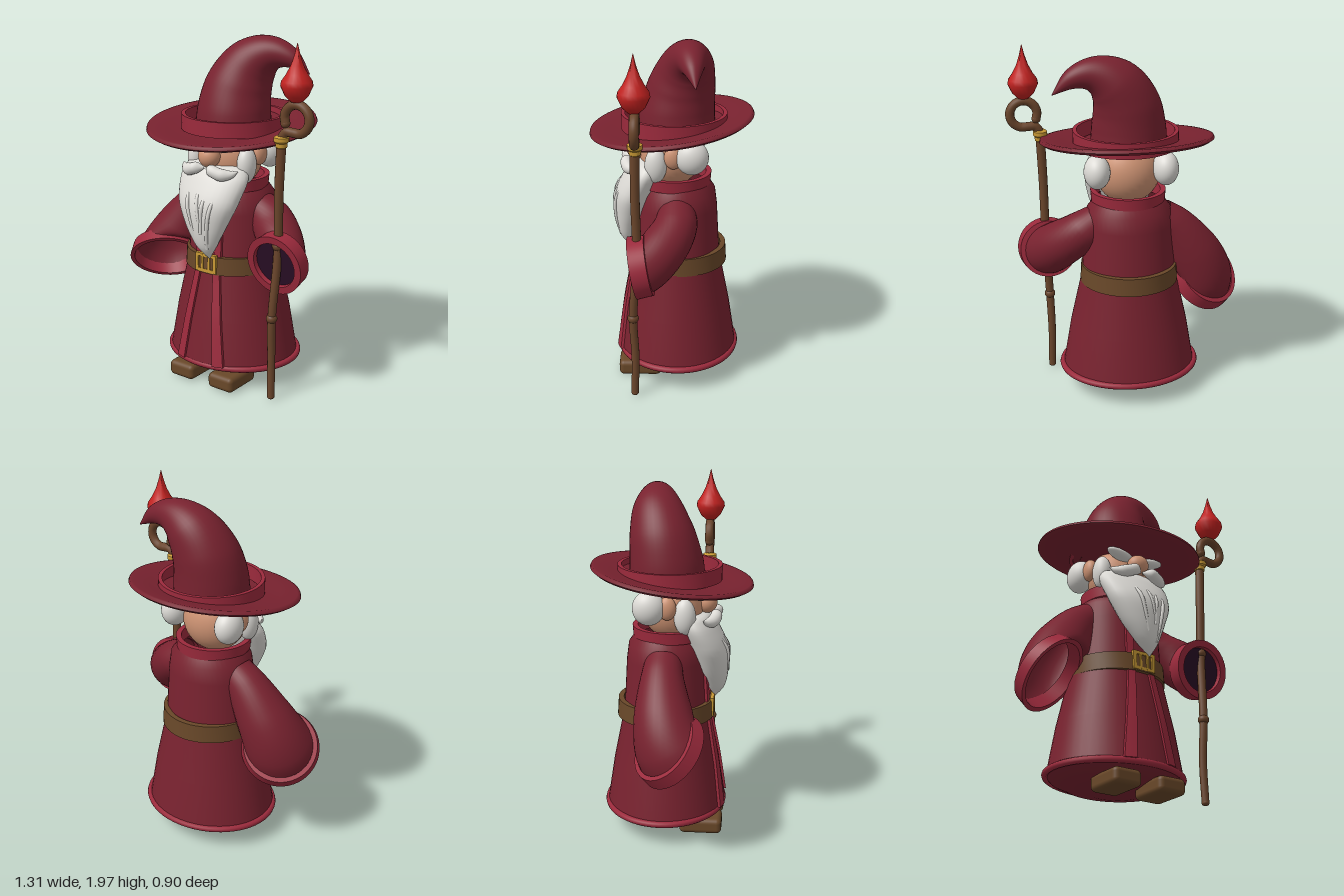
import * as THREE from 'three';
import { toCreasedNormals } from 'three/addons/utils/BufferGeometryUtils.js';
import { RoundedBoxGeometry } from 'three/addons/geometries/RoundedBoxGeometry.js';

const V = (x, y, z) => new THREE.Vector3(x, y, z);
const mat = (name, color, side = THREE.FrontSide) => {
  const m = new THREE.MeshStandardMaterial({ color, side });
  m.name = name;
  return m;
};

// Smooth tube through sections [position, normal, radiusU, radiusV]
function loft(sections, ref, steps = 28, sides = 32) {
  const curve = (f) => new THREE.CatmullRomCurve3(sections.map(f));
  const pc = curve((s) => V(...s[0])), nc = curve((s) => V(...s[1]).normalize());
  const rc = curve((s) => V(s[2], s[3] ?? s[2], 0));
  const pos = [], idx = [];
  for (let i = 0; i <= steps; i++) {
    const t = i / steps;
    const p = pc.getPoint(t), n = nc.getPoint(t).normalize(), r = rc.getPoint(t);
    const u = ref.clone().cross(n).normalize(), v = n.clone().cross(u);
    for (let j = 0; j < sides; j++) {
      const a = (j / sides) * Math.PI * 2;
      const q = p.clone().addScaledVector(u, Math.cos(a) * r.x).addScaledVector(v, Math.sin(a) * r.y);
      pos.push(q.x, q.y, q.z);
      if (i < steps) {
        const k = i * sides, b = k + j, c = k + ((j + 1) % sides);
        idx.push(b, c, b + sides, c, c + sides, b + sides);
      }
    }
  }
  const g = new THREE.BufferGeometry();
  g.setAttribute('position', new THREE.Float32BufferAttribute(pos, 3));
  g.setIndex(idx);
  g.computeVertexNormals();
  return g;
}

const lathe = (pts, seg = 48, crease = 0.6) =>
  toCreasedNormals(new THREE.LatheGeometry(pts.map((p) => new THREE.Vector2(...p)), seg), crease);
// Hollow ring with wall from inner to outer radius, flaring from r0 to r1
const ring = (r0, r1, wall, h) =>
  lathe([[r0 - wall, 0], [r0, 0], [r1, h], [r1 - wall, h], [r0 - wall, 0]]);

export function createModel() {
  const model = new THREE.Group();
  const robe = mat('robe red', 0x78222f, THREE.DoubleSide);
  const trim = mat('trim red', 0x9b2a3c);
  const dark = mat('dark lining', 0x2a0f26);
  const white = mat('hair white', 0xdddbd6);
  const skin = mat('skin', 0xcf9474);
  const leather = mat('leather brown', 0x694829);
  const wood = mat('staff brown', 0x6a452b);
  const gold = mat('gold', 0xc99a35);
  const red = mat('crystal red', 0xc32220);

  const add = (name, geo, material, p = [0, 0, 0], rot = [0, 0, 0], s = [1, 1, 1]) => {
    const m = new THREE.Mesh(geo, material);
    m.name = name;
    m.position.set(...p);
    m.rotation.set(...rot);
    m.scale.set(...s);
    model.add(m);
    return m;
  };
  const ball = new THREE.SphereGeometry(1, 32, 24);
  const blob = (name, material, p, s, rz = 0, rx = 0) => add(name, ball, material, p, [rx, 0, rz], s);
  const aim = (m, n) => m.quaternion.setFromUnitVectors(V(0, 1, 0), V(...n).normalize());

  // Robe
  const side = [[0.38, 0.14], [0.335, 0.4], [0.277, 0.66], [0.263, 0.76], [0.248, 1.0], [0.235, 1.09], [0.19, 1.15]];
  add('robe', lathe([[0.001, 0.05], [0.15, 0.06], [0.28, 0.085], [0.36, 0.12], ...side]), robe,
    [0, 0, -0.03], [0, 0, 0], [1, 1, 0.9]);
  const hem = new THREE.TorusGeometry(0.385, 0.018, 10, 64);
  add('hem', hem, trim, [0, 0.14, -0.035], [Math.PI / 2, 0, 0], [1, 0.87, 1]);
  add('collar', ring(0.205, 0.21, 0.03, 0.065), trim, [0, 1.128, -0.01]);

  // Two trim bands laid on the front of the robe
  const robeR = (y) => {
    for (let i = 1; i < side.length; i++) {
      const [r0, y0] = side[i - 1], [r1, y1] = side[i];
      if (y <= y1) return r0 + ((r1 - r0) * (y - y0)) / (y1 - y0);
    }
    return 0.19;
  };
  for (const s of [-1, 1]) {
    const g = new THREE.BoxGeometry(1, 1, 1, 3, 16, 1), a = g.attributes.position;
    for (let i = 0; i < a.count; i++) {
      const t = a.getY(i) + 0.5, y = 0.15 + t * 0.9, k = Math.min(1, t / 0.57);
      const x = s * (0.13 - 0.065 * k) + a.getX(i) * (0.062 - 0.022 * k);
      const z = -0.03 + 0.9 * Math.sqrt(robeR(y) ** 2 - x * x) + a.getZ(i) * 0.03;
      a.setXYZ(i, x, y, z);
    }
    add('frontBand', toCreasedNormals(g, 0.6), trim);
  }

  // Belt and buckle
  add('belt', ring(0.276, 0.27, 0.03, 0.1), leather, [0, 0.665, -0.034]);
  const frame = new THREE.Shape();
  frame.moveTo(-0.07, -0.053).lineTo(0.07, -0.053).lineTo(0.07, 0.053).lineTo(-0.07, 0.053).closePath();
  const hole = new THREE.Path();
  hole.moveTo(-0.05, -0.035).lineTo(-0.05, 0.035).lineTo(0.05, 0.035).lineTo(0.05, -0.035).closePath();
  frame.holes.push(hole);
  add('buckle', new THREE.ExtrudeGeometry(frame, { depth: 0.02, bevelEnabled: false }), gold, [0.004, 0.725, 0.222]);
  for (const x of [-0.018, 0.026]) add('buckleBar', new THREE.BoxGeometry(0.014, 0.09, 0.016), gold, [x, 0.725, 0.235]);

  // Shoes
  for (const s of [-1, 1])
    add('shoe', new RoundedBoxGeometry(0.17, 0.09, 0.24, 3, 0.028), leather, [s * 0.139, 0.052, 0.18]);

  // Right sleeve, hanging wide and open
  const nR = [0.45, -0.65, 0.62];
  add('rightSleeve', loft([
    [[-0.17, 1.03, -0.03], [-0.75, -0.66, 0], 0.1],
    [[-0.25, 0.97, -0.03], [-0.6, -0.8, 0], 0.115],
    [[-0.36, 0.82, -0.02], [-0.35, -0.9, 0.2], 0.155],
    [[-0.44, 0.69, 0], [0.2, -0.8, 0.45], 0.185],
    [[-0.455, 0.625, 0.025], nR, 0.2],
  ], V(0, 0, 1)), robe);
  aim(add('rightCuff', ring(0.205, 0.22, 0.025, 0.075), trim, [-0.475, 0.655, -0.005]), nR);

  // Left sleeve, reaching forward around the staff
  const nL = [0, -0.18, 0.98];
  add('leftSleeve', loft([
    [[0.17, 1.02, -0.03], [0.8, -0.6, 0], 0.1],
    [[0.25, 0.97, -0.025], [0.65, -0.7, 0.15], 0.118],
    [[0.35, 0.89, 0.03], [0.4, -0.6, 0.6], 0.13],
    [[0.425, 0.81, 0.12], [0.1, -0.3, 0.9], 0.142],
    [[0.435, 0.797, 0.17], nL, 0.15],
  ], V(1, 0, 0)), robe);
  aim(add('leftCuff', ring(0.163, 0.17, 0.04, 0.09), trim, [0.435, 0.81, 0.115]), nL);
  aim(add('leftSleeveLining', new THREE.CylinderGeometry(0.135, 0.135, 0.01, 40), dark, [0.435, 0.8, 0.172]), nL);

  // Head
  blob('head', skin, [0, 1.3, 0.005], [0.185, 0.19, 0.172]);
  blob('nose', skin, [0, 1.325, 0.195], [0.062, 0.062, 0.058]);
  for (const s of [-1, 1]) {
    blob('ear', skin, [s * 0.19, 1.33, -0.01], [0.035, 0.065, 0.05]);
    blob('hairPuff', white, [s * 0.19, 1.33, -0.11], [0.072, 0.095, 0.09]);
    blob('sideburn', white, [s * 0.17, 1.28, 0.085], [0.05, 0.1, 0.06]);
    blob('eyebrow', white, [s * 0.095, 1.38, 0.165], [0.09, 0.027, 0.04], s * 0.2);
    // Moustache half, drooping outwards
    add('moustache', loft([
      [[s * 0.005, 1.268, 0.23], [s, -0.1, 0], 0.004],
      [[s * 0.05, 1.265, 0.25], [s, -0.2, -0.1], 0.032],
      [[s * 0.11, 1.245, 0.235], [s, -0.1, -0.3], 0.034],
      [[s * 0.16, 1.25, 0.205], [s, 0.3, -0.5], 0.02],
      [[s * 0.185, 1.265, 0.185], [s, 0.4, -0.6], 0.002],
    ], V(0, 1, 0), 20, 16), white);
  }

  // Beard with raised strands
  const down = [0, -1, 0];
  add('beard', loft([
    [[0, 1.285, 0.11], down, 0.02, 0.01],
    [[0, 1.265, 0.12], down, 0.19, 0.085],
    [[0, 1.2, 0.15], down, 0.215, 0.105],
    [[0, 1.08, 0.205], down, 0.19, 0.11],
    [[0.005, 0.94, 0.235], down, 0.125, 0.085],
    [[0.02, 0.83, 0.25], down, 0.06, 0.048],
    [[0.037, 0.76, 0.245], down, 0.002, 0.002],
  ], V(0, 0, 1)), white);
  for (const [x0, x1, y0, y1] of [[-0.09, -0.01, 1.18, 0.88], [-0.015, 0.022, 1.17, 0.98], [0.1, 0.05, 1.17, 0.83], [0.04, 0.028, 1.14, 0.92]]) {
    const zAt = (y) => 0.316 - 0.9 * Math.max(0, y - 1.09) - 0.3 * Math.max(0, 0.93 - y);
    const pts = [0, 0.33, 0.66, 1].map((t) => {
      const y = y0 + (y1 - y0) * t, x = x0 + (x1 - x0) * t;
      return V(x, y, zAt(y) - 1.3 * x * x);
    });
    add('beardStrand', new THREE.TubeGeometry(new THREE.CatmullRomCurve3(pts), 16, 0.011, 8), white);
  }

  // Hat
  add('hatBrim', lathe([[0.001, -0.035], [0.2, -0.033], [0.35, -0.018], [0.44, -0.004], [0.46, 0.01], [0.455, 0.024],
    [0.44, 0.026], [0.35, 0.01], [0.2, -0.004], [0.001, -0.005]], 64, 1.2), robe,
    [0.003, 1.465, 0], [0.123, 0, 0], [1.045, 1, 0.985]);
  add('hatBand', ring(0.29, 0.29, 0.022, 0.085), trim, [0.013, 1.45, -0.012]);
  add('hatCone', loft([
    [[0, 1.44, -0.025], [0, 1, 0], 0.212],
    [[0, 1.56, -0.03], [0, 1, 0], 0.203],
    [[0.022, 1.7, -0.055], [0.25, 1, -0.1], 0.18],
    [[0.1, 1.82, -0.085], [0.7, 0.75, -0.1], 0.14],
    [[0.22, 1.868, -0.1], [1, 0.15, -0.1], 0.088],
    [[0.33, 1.84, -0.112], [0.85, -0.5, -0.1], 0.05],
    [[0.425, 1.77, -0.125], [0.8, -0.6, -0.1], 0.002],
  ], V(0, 0, 1), 40, 40), robe);

  // Staff
  const shaft = [[0.425, 0.02, 0.2], [0.422, 0.25, 0.195], [0.428, 0.49, 0.205], [0.445, 0.85, 0.18], [0.45, 1.2, 0.185], [0.46, 1.48, 0.182]];
  add('staff', loft(shaft.map((p, i) => [p, [0.02, 1, 0], 0.021 + i * 0.001]), V(0, 0, 1), 30, 14), wood);
  blob('staffFoot', wood, [0.425, 0.022, 0.2], [0.021, 0.015, 0.021]);
  for (const [x, y, z] of [[0.428, 0.49, 0.205], [0.445, 0.9, 0.18]]) blob('staffKnot', wood, [x, y, z], [0.031, 0.028, 0.031]);
  add('staffCollar', lathe([[0.024, -0.035], [0.03, -0.03], [0.032, -0.008], [0.04, 0], [0.04, 0.022], [0.028, 0.03], [0.001, 0.03]], 20), gold, [0.459, 1.47, 0.182]);
  const crook = [V(0.46, 1.49, 0.182), V(0.487, 1.522, 0.18)];
  for (let i = 0; i <= 10; i++) {
    const a = -1.85 + (i / 10) * 5.4;
    crook.push(V(0.548 + Math.cos(a) * 0.075, 1.595 + Math.sin(a) * 0.075, 0.178));
  }
  add('staffCrook', new THREE.TubeGeometry(new THREE.CatmullRomCurve3(crook), 60, 0.025, 12), wood);
  blob('crookTip', wood, crook[crook.length - 1].toArray(), [0.025, 0.025, 0.025]);

  // Flame-shaped crystal
  add('crystal', lathe([[0.001, 1.68], [0.03, 1.685], [0.06, 1.715], [0.083, 1.765], [0.079, 1.79], [0.055, 1.825],
    [0.032, 1.87], [0.014, 1.925], [0.001, 1.98]], 20, 1.2), red, [0.545, 0, 0.18]);

  return model;
}
